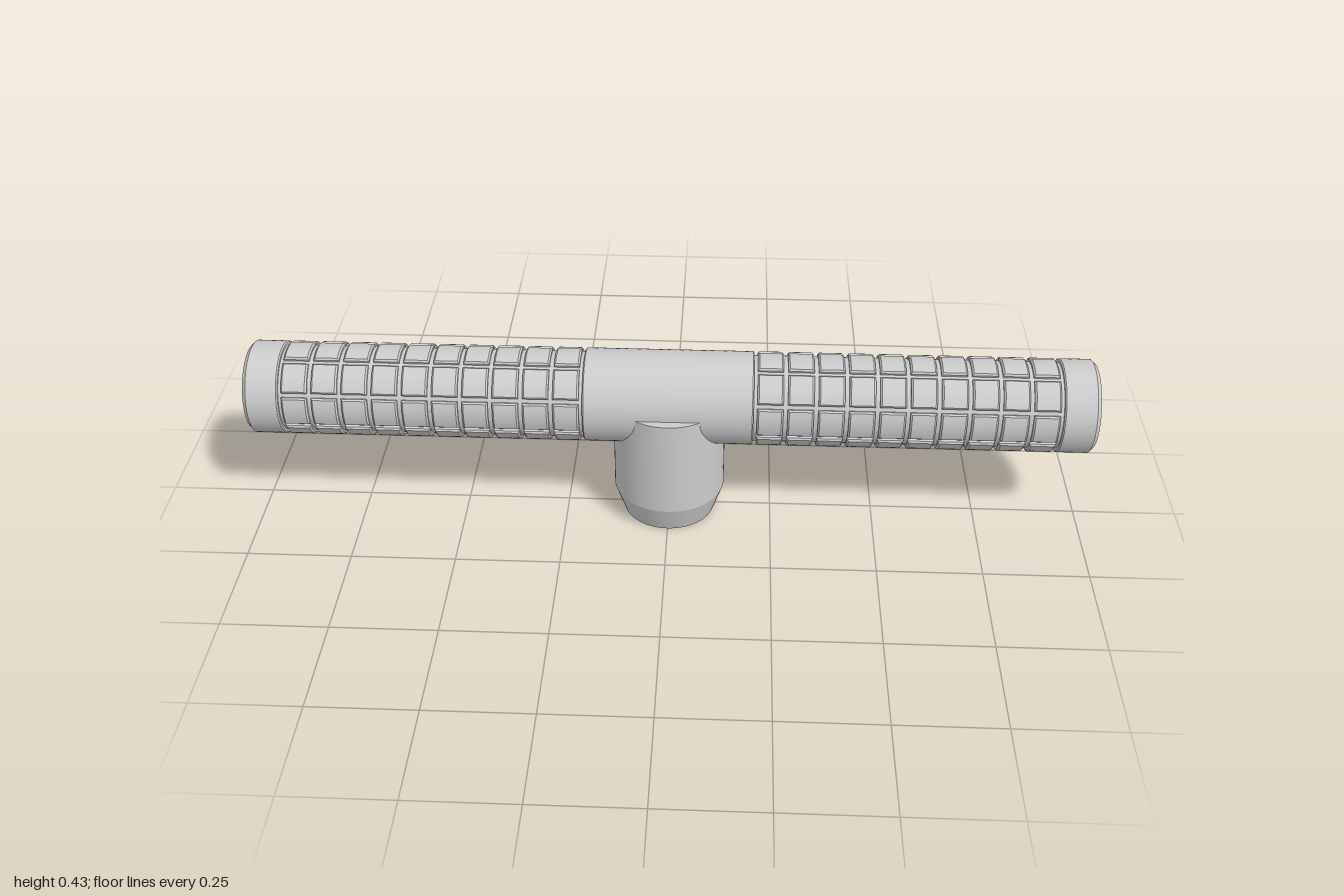
import * as THREE from 'three';
import { mergeGeometries, toCreasedNormals } from 'three/addons/utils/BufferGeometryUtils.js';

const BAR_Y = 0.316, BAR_R = 0.111, CORE_R = 0.102;
const GRIP_START = 0.203, GRIP_END = 0.912;
const RINGS = 10, ROWS = 8;
const PITCH = (GRIP_END - GRIP_START) / RINGS;

const material = new THREE.MeshStandardMaterial({ color: 0xcccccc });
const doubleSided = new THREE.MeshStandardMaterial({ color: 0xcccccc, side: THREE.DoubleSide });

function addMesh(parent, name, geometry, mat = material) {
  const mesh = new THREE.Mesh(geometry, mat);
  mesh.name = name;
  parent.add(mesh);
  return mesh;
}

// Turned solid with crisp profile corners; points run from bottom to top
function turned(points) {
  const profile = points.map(([r, y]) => new THREE.Vector2(r, y));
  return toCreasedNormals(new THREE.LatheGeometry(profile, 64), 0.25);
}

// Turned solid lying along the x axis
const turnedAlongX = (points) => turned(points).rotateZ(-Math.PI / 2);

// One raised grip pad: a box bent round the bar, bevelled on its outer edge
function gripPad() {
  const geometry = new THREE.BoxGeometry(1, 1, 1, 1, 6, 2);
  const p = geometry.attributes.position;
  const width = PITCH - 0.01;
  const arc = (2 * Math.PI) / ROWS - 0.1;
  for (let i = 0; i < p.count; i++) {
    const layer = p.getZ(i);
    const outer = layer > 0.25;
    const r = outer ? BAR_R : layer < -0.25 ? CORE_R - 0.004 : BAR_R - 0.004;
    const inset = outer ? 0.008 : 0;
    const angle = p.getY(i) * (arc - inset / BAR_R);
    p.setXYZ(i, p.getX(i) * (width - inset), r * Math.sin(angle), r * Math.cos(angle));
  }
  return toCreasedNormals(geometry, 0.25);
}

// All the pads of one grip, set out in rings and rows
function gripPads(side) {
  const pad = gripPad();
  const pads = [];
  for (let ring = 0; ring < RINGS; ring++) {
    for (let row = 0; row < ROWS; row++) {
      const x = side * (GRIP_START + (ring + 0.5) * PITCH);
      pads.push(pad.clone().rotateX((row * 2 * Math.PI) / ROWS).translate(x, 0, 0));
    }
  }
  return mergeGeometries(pads);
}

function createBar() {
  const bar = new THREE.Group();
  bar.name = 'handleBar';
  bar.position.y = BAR_Y;

  addMesh(bar, 'barCore', turnedAlongX([[CORE_R, -0.95], [CORE_R, 0.95]]));

  const half = GRIP_START - 0.003;
  addMesh(bar, 'centreSleeve', turnedAlongX([
    [0, -half], [BAR_R - 0.003, -half], [BAR_R, -half + 0.003],
    [BAR_R, half - 0.003], [BAR_R - 0.003, half], [0, half],
  ]));

  // End caps with a chamfered rim
  const capStart = GRIP_END + 0.003;
  for (const side of [1, -1]) {
    const end = side > 0 ? 'left' : 'right';
    const cap = addMesh(bar, end + 'EndCap', turnedAlongX([
      [0, capStart], [BAR_R - 0.003, capStart], [BAR_R, capStart + 0.003],
      [BAR_R, 0.99], [0.101, 1], [0, 1],
    ]));
    if (side < 0) cap.rotation.y = Math.PI;
    addMesh(bar, end + 'GripPads', gripPads(side));
  }
  return bar;
}

function createStem() {
  const stem = new THREE.Group();
  stem.name = 'stem';

  // Tapered foot, straight body and flat shoulder
  addMesh(stem, 'stemBody', turned([[0.111, 0], [0.134, 0.069], [0.134, BAR_Y], [0, BAR_Y]]));

  // Underside with a mounting hole and a small locating hole
  const holes = [
    { name: 'mountingHole', x: 0, z: 0, r: 0.033, depth: 0.12 },
    { name: 'locatingHole', x: 0.053, z: -0.053, r: 0.008, depth: 0.05 },
  ];
  const face = new THREE.Shape().absarc(0, 0, 0.111, 0, Math.PI * 2);
  for (const { name, x, z, r, depth } of holes) {
    face.holes.push(new THREE.Path().absarc(x, z, r, 0, Math.PI * 2, true));
    const wall = new THREE.CylinderGeometry(r, r, depth, 32, 1, true).translate(x, depth / 2, z);
    const floor = new THREE.CircleGeometry(r, 32).rotateX(Math.PI / 2).translate(x, depth, z);
    addMesh(stem, name, mergeGeometries([wall, floor]), doubleSided);
  }
  addMesh(stem, 'underside', new THREE.ShapeGeometry(face, 32).rotateX(Math.PI / 2));
  return stem;
}

export function createModel() {
  const model = new THREE.Group();
  model.name = 'crossHandle';
  model.add(createBar(), createStem());
  return model;
}
